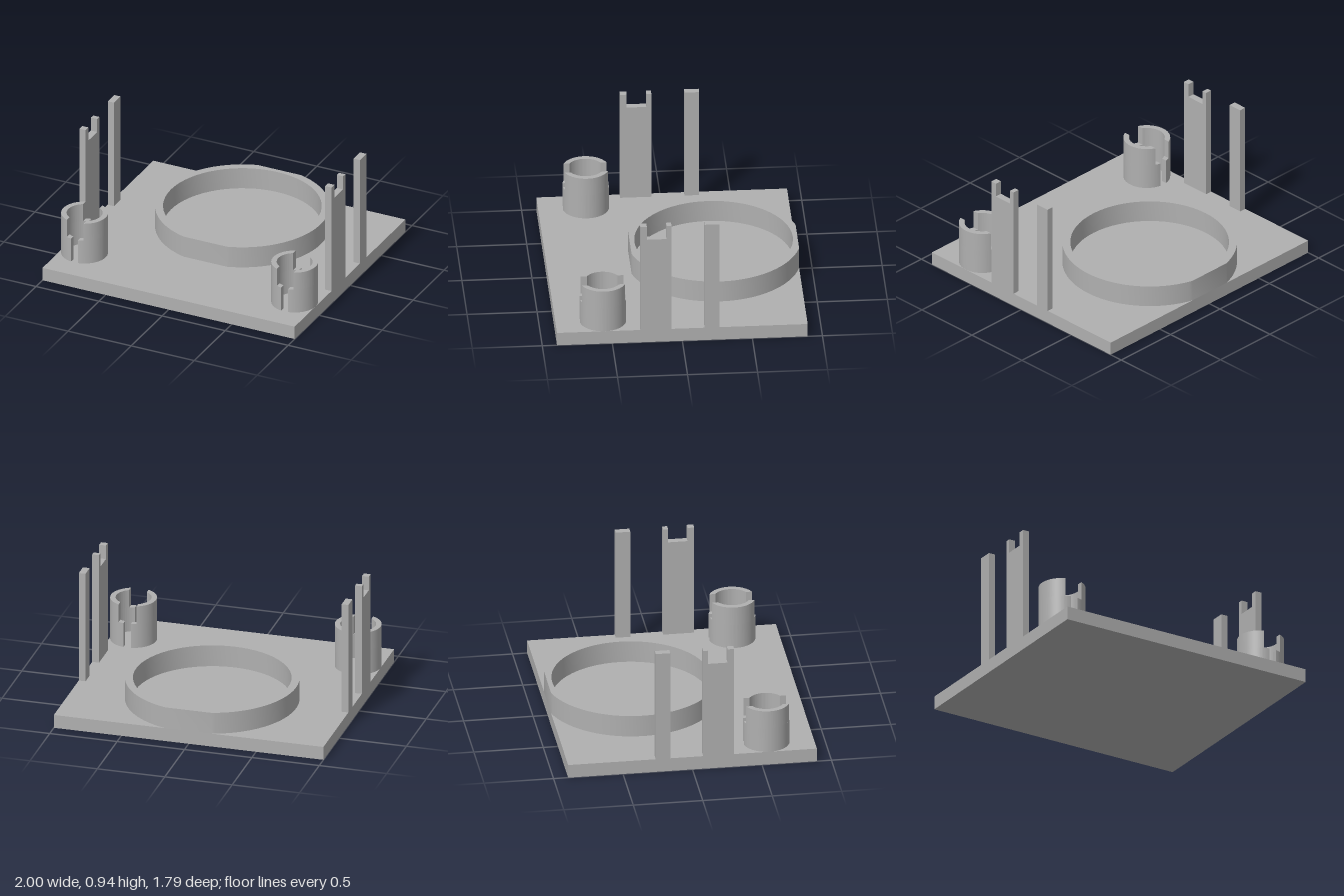
import * as THREE from 'three';
import { toCreasedNormals } from 'three/addons/utils/BufferGeometryUtils.js';

const gray = new THREE.MeshStandardMaterial({ color: 0xb0b0b0 });
gray.name = 'plain gray';

const PLATE_TOP = 0.1;

function addMesh(parent, name, geometry) {
  const mesh = new THREE.Mesh(geometry, gray);
  mesh.name = name;
  parent.add(mesh);
  return mesh;
}

// Extrude a plan outline (x, -z) upward from y0 to y1
function extrudeUp(shape, y0, y1) {
  const g = new THREE.ExtrudeGeometry(shape, { depth: y1 - y0, bevelEnabled: false, curveSegments: 32 });
  g.rotateX(-Math.PI / 2);
  g.translate(0, y0, 0);
  return toCreasedNormals(g, 0.5);
}

// Round rim trimmed flat at its front and back
function rimShape(outer, inner, flat) {
  const a = Math.asin(flat / outer);
  const s = new THREE.Shape();
  s.absarc(0, 0, outer, -a, a, false);
  s.absarc(0, 0, outer, Math.PI - a, Math.PI + a, false);
  s.closePath();
  const hole = new THREE.Path();
  hole.absarc(0, 0, inner, 0, Math.PI * 2, true);
  s.holes.push(hole);
  return s;
}

// Half of a split tube, cut along x = gap
function halfTubeShape(outer, inner, gap) {
  const a = Math.acos(gap / outer);
  const b = Math.acos(gap / inner);
  const s = new THREE.Shape();
  s.absarc(0, 0, outer, -a, a, false);
  s.absarc(0, 0, inner, b, -b, true);
  s.closePath();
  return s;
}

// Upright with a square notch in the top, outlined in (z, y)
function forkGeometry(thickness) {
  const points = [[0.077, 0.1], [0.3, 0.1], [0.3, 0.937], [0.253, 0.937],
    [0.253, 0.832], [0.113, 0.832], [0.113, 0.937], [0.077, 0.937]];
  const shape = new THREE.Shape(points.map(([z, y]) => new THREE.Vector2(-z, y)));
  const g = new THREE.ExtrudeGeometry(shape, { depth: thickness, bevelEnabled: false });
  g.rotateY(Math.PI / 2);
  g.translate(-thickness / 2, 0, 0);
  return g;
}

export function createModel() {
  const model = new THREE.Group();
  model.name = 'mountingBase';

  // Base plate
  addMesh(model, 'basePlate', new THREE.BoxGeometry(2, PLATE_TOP, 1.79)).position.y = PLATE_TOP / 2;

  // Large retaining ring
  addMesh(model, 'retainingRing', extrudeUp(rimShape(0.622, 0.565, 0.598), PLATE_TOP, 0.262)).position.z = -0.297;

  for (const [side, sign] of [['left', 1], ['right', -1]]) {
    // Uprights along the side edge
    const height = 0.837;
    const post = addMesh(model, side + 'Post', new THREE.BoxGeometry(0.05, height, 0.105));
    post.position.set(sign * 0.975, PLATE_TOP + height / 2, -0.212);
    addMesh(model, side + 'NotchedPost', forkGeometry(0.05)).position.x = sign * 0.975;

    // Split clip: narrow slot below, wider slot above
    const clip = new THREE.Group();
    clip.name = side + 'Clip';
    clip.position.set(sign * 0.833, 0, 0.555);
    for (const turn of [0, Math.PI]) {
      addMesh(clip, 'clipLowerHalf', extrudeUp(halfTubeShape(0.167, 0.128, 0.027), PLATE_TOP, 0.285)).rotation.y = turn;
      addMesh(clip, 'clipUpperHalf', extrudeUp(halfTubeShape(0.167, 0.128, 0.066), 0.285, 0.422)).rotation.y = turn;
    }
    model.add(clip);
  }
  return model;
}
